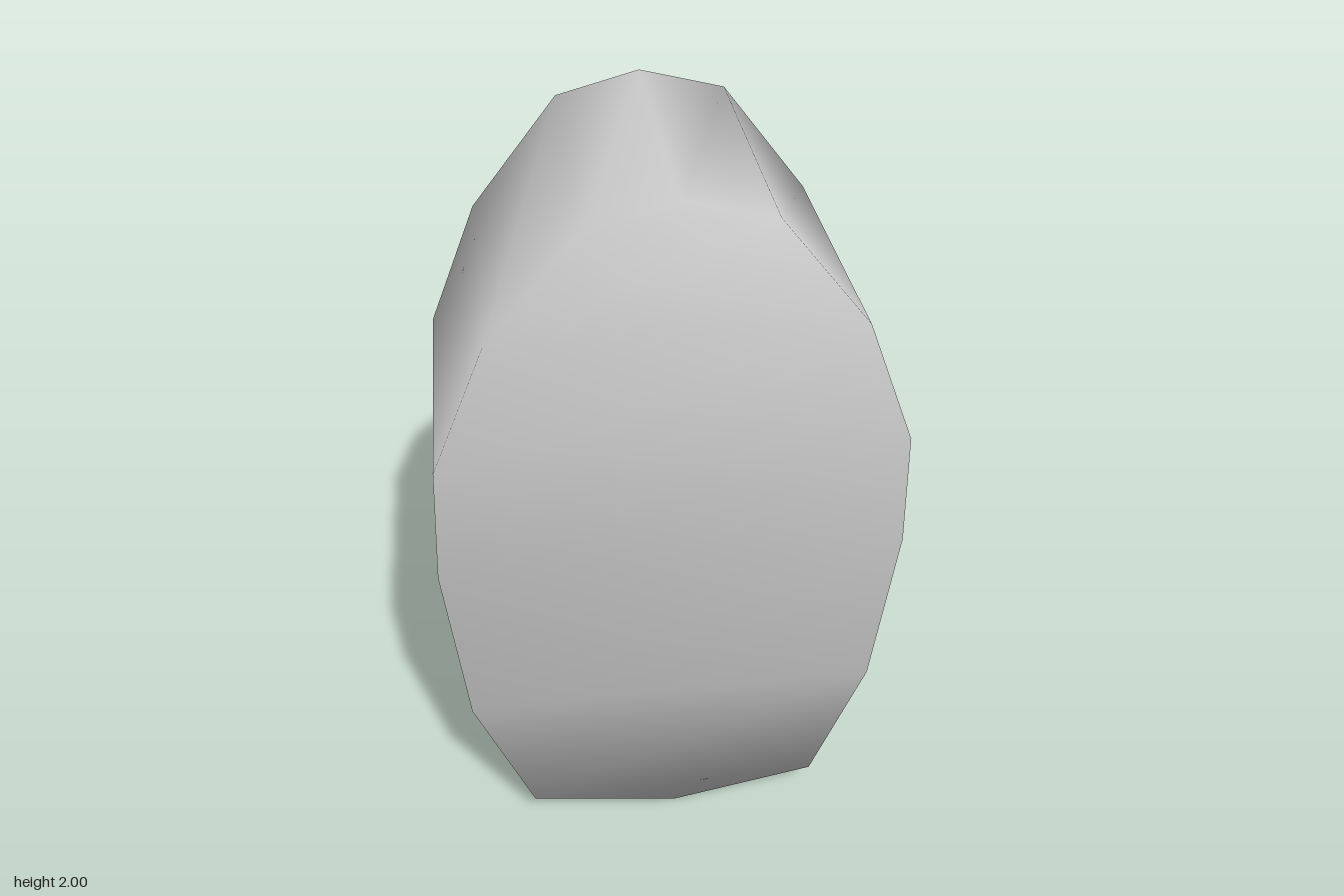
import * as THREE from 'three';

// Egg-shaped outlines, clockwise from the top: top, right side down, bottom, left side up
const frontOutline = [
  [0, 1.98], [0.235, 1.92], [0.475, 1.62], [0.61, 1.27], [0.62, 0.94], [0.56, 0.46], [0.41, 0.09],
  [0, 0.015], [-0.42, 0.08], [-0.58, 0.46], [-0.635, 0.95], [-0.62, 1.28], [-0.475, 1.63], [-0.23, 1.925],
];
const backOutline = [
  [0.01, 2], [0.245, 1.94], [0.485, 1.63], [0.62, 1.28], [0.63, 0.94], [0.57, 0.45], [0.42, 0.075],
  [0, 0], [-0.405, 0.09], [-0.57, 0.46], [-0.61, 0.95], [-0.605, 1.28], [-0.465, 1.63], [-0.22, 1.94],
];
const halfDepth = 0.4;

// Joins the two outlines into a closed slab whose shared vertices shade smoothly
function slabGeometry(front, back) {
  const n = front.length;
  const half = n / 2;
  const positions = [];
  front.forEach(([x, y]) => positions.push(x, y, halfDepth));
  back.forEach(([x, y]) => positions.push(x, y, -halfDepth));

  const index = [];
  const capTriangle = (a, b, c) => {
    if (a === b || b === c || a === c) return;
    index.push(a, b, c, a + n, c + n, b + n);
  };

  // Front and back caps in horizontal strips between opposite outline points
  for (let i = 0; i < half; i++) {
    const left = (n - i) % n;
    const nextLeft = n - i - 1;
    capTriangle(i, left, nextLeft);
    capTriangle(i, nextLeft, i + 1);
  }
  // Rim
  for (let i = 0; i < n; i++) {
    const j = (i + 1) % n;
    index.push(i, j, j + n, i, j + n, i + n);
  }

  const geometry = new THREE.BufferGeometry();
  geometry.setAttribute('position', new THREE.Float32BufferAttribute(positions, 3));
  geometry.setIndex(index);
  geometry.computeVertexNormals();
  return geometry;
}

export function createModel() {
  const group = new THREE.Group();
  group.name = 'eggSlab';
  const material = new THREE.MeshStandardMaterial({ color: 0xcccccc });
  const body = new THREE.Mesh(slabGeometry(frontOutline, backOutline), material);
  body.name = 'body';
  group.add(body);
  return group;
}
